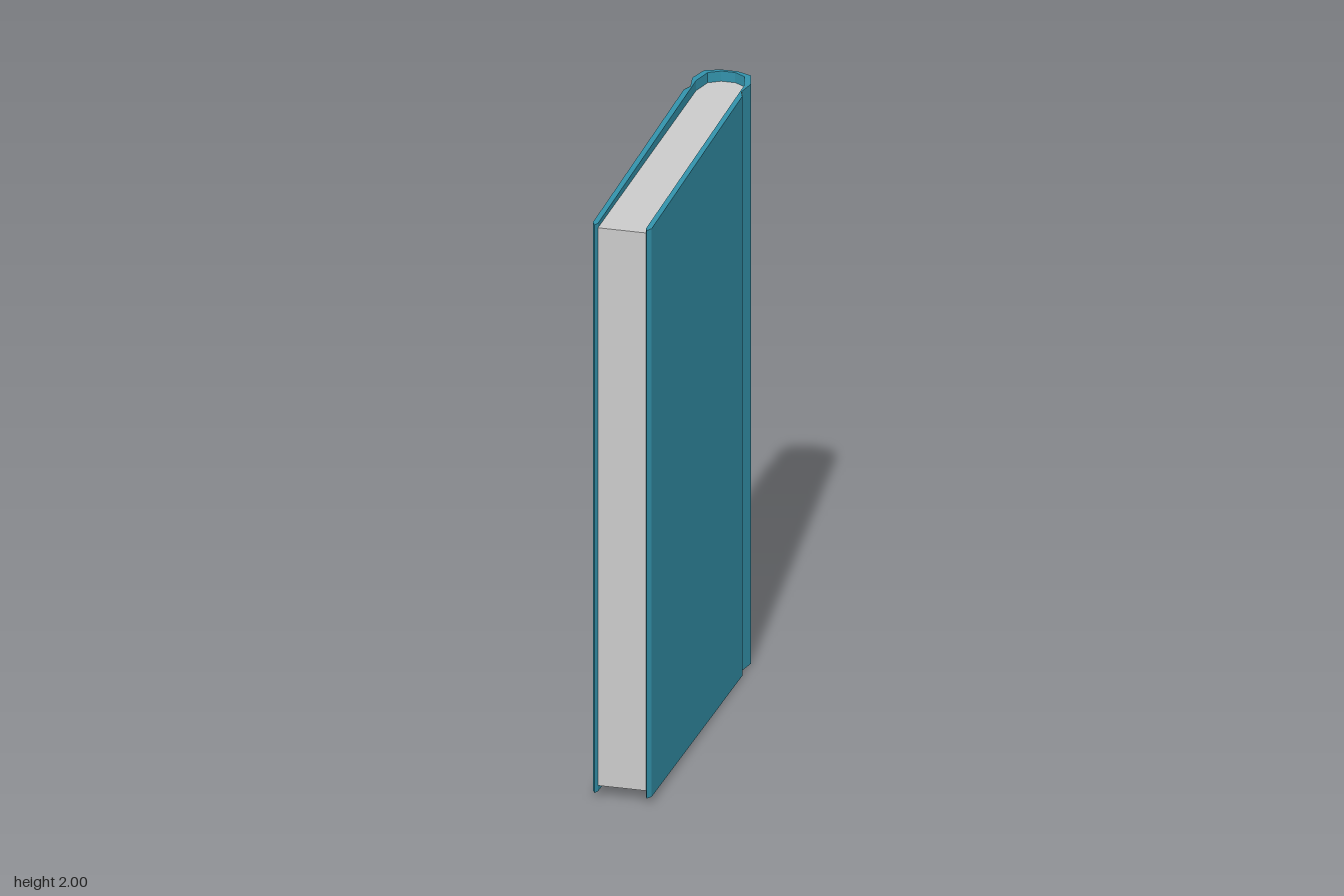
import * as THREE from 'three';

const teal = new THREE.MeshStandardMaterial({ color: 0x3392ab, flatShading: true });
const gold = new THREE.MeshStandardMaterial({ color: 0xe0bd70, flatShading: true, side: THREE.DoubleSide });
const paper = new THREE.MeshStandardMaterial({ color: 0xcccccc, flatShading: true });

// Half profiles as [x, z], from the spine towards the fore edge
const outer = [[0.028, -0.641], [0.077, -0.62], [0.097, -0.553], [0.084, -0.484], [0.097, -0.449], [0.097, 0.622], [0.086, 0.641]];
const inner = [[0.023, -0.629], [0.061, -0.605], [0.079, -0.533], [0.079, 0.626]];

const mirror = (pts) => pts.map(([x, z]) => [-x, z]);

// Upright prism standing on a floor-plan outline
function prism(outline, y0, y1) {
  const shape = new THREE.Shape(outline.map(([x, z]) => new THREE.Vector2(x, -z)));
  const geo = new THREE.ExtrudeGeometry(shape, { depth: y1 - y0, bevelEnabled: false });
  return geo.rotateX(-Math.PI / 2).translate(0, y0, 0);
}

// Boards get slightly shorter towards the fore edge
function taper(geo) {
  const p = geo.attributes.position;
  for (let i = 0; i < p.count; i++) {
    const t = THREE.MathUtils.clamp((p.getZ(i) + 0.449) / 1.09, 0, 1);
    p.setY(i, 1 + (p.getY(i) - 1) * (1 - 0.02 * t));
  }
  geo.computeVertexNormals();
  return geo;
}

function add(group, name, geo, material) {
  const mesh = new THREE.Mesh(geo, material);
  mesh.name = name;
  group.add(mesh);
  return mesh;
}

export function createModel() {
  const book = new THREE.Group();
  book.name = 'book';

  // Cover: one folded shell around the rounded spine
  const shell = [
    ...mirror(outer).reverse(), ...outer,
    ...[...inner].reverse(), ...mirror(inner),
  ];
  add(book, 'cover', taper(prism(shell, 0, 2)), teal);

  // Page block with rounded back
  add(book, 'pages', prism([...mirror(inner).reverse(), ...inner], 0.04, 1.965), paper);

  // Gold band on the slope of each hinge groove
  const [a, b] = [outer[3], outer[4]];
  for (const side of [-1, 1]) {
    const band = new THREE.PlaneGeometry(Math.hypot(b[0] - a[0], b[1] - a[1]), 2);
    const mesh = add(book, side > 0 ? 'leftHingeBand' : 'rightHingeBand', band, gold);
    mesh.position.set(side * ((a[0] + b[0]) / 2 + 0.001), 1, (a[1] + b[1]) / 2 - 0.0004);
    mesh.rotation.y = side * (Math.PI / 2 + Math.atan2(b[0] - a[0], b[1] - a[1]));
  }
  return book;
}
